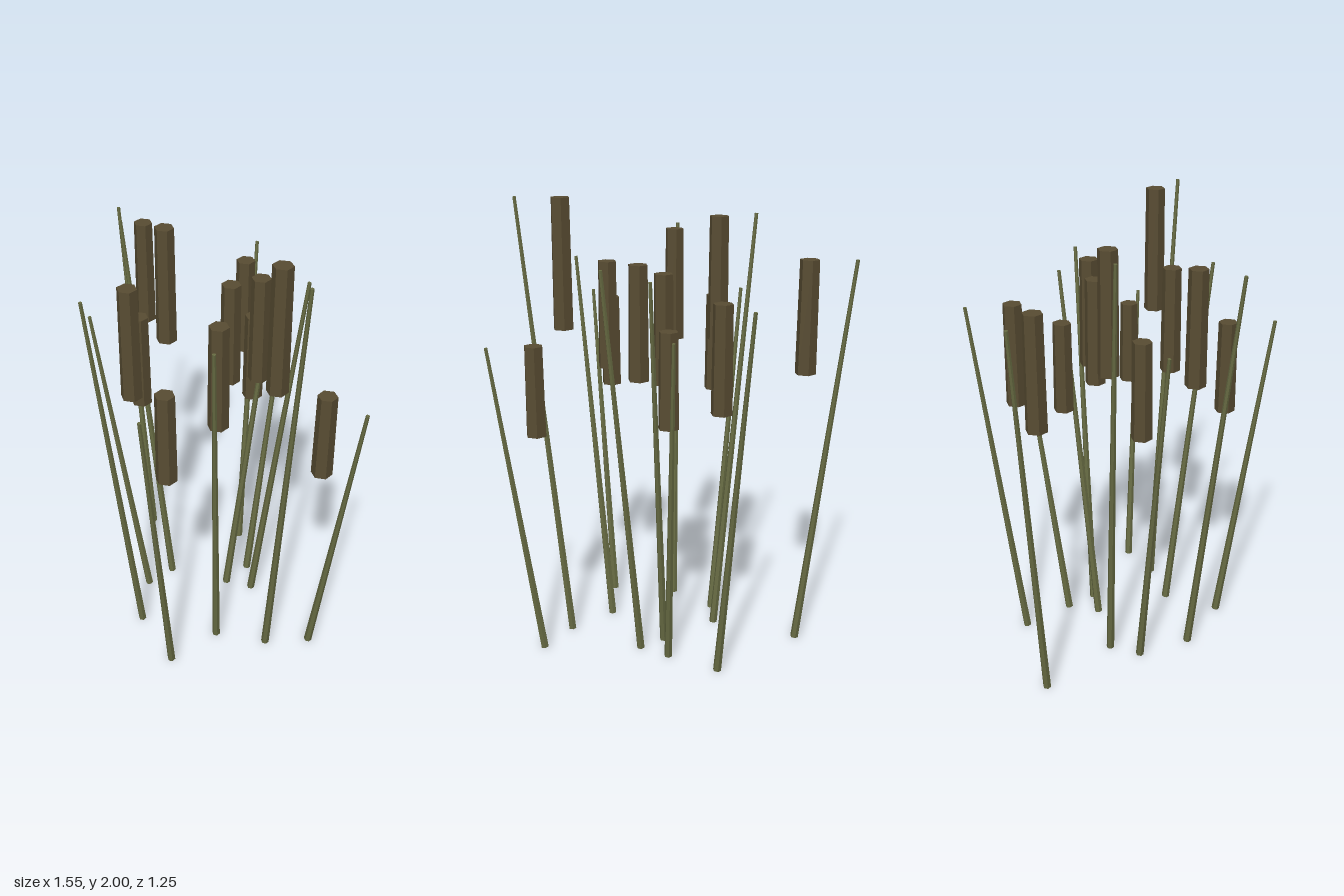
import * as THREE from 'three';

// Each reed: base x, base z, tip x, tip z, height
const REEDS = [
  [-0.16, -0.44, -0.245, -0.615, 1.63],
  [0.03, -0.285, 0.045, -0.485, 1.49],
  [0.025, -0.135, 0.11, -0.315, 1.7],
  [0.14, -0.19, 0.305, -0.295, 1.75],
  [-0.575, -0.215, -0.77, -0.25, 1.755],
  [0.57, -0.11, 0.765, -0.11, 1.41],
  [0.43, 0.04, 0.615, 0.105, 2.0],
  [0.225, 0.16, 0.345, 0.32, 1.71],
  [0.18, 0.42, 0.24, 0.615, 1.5],
  [-0.105, 0.33, -0.155, 0.525, 1.82],
  [-0.255, 0.135, -0.405, 0.275, 1.55],
  [-0.235, -0.01, -0.415, 0.065, 1.915],
];

export function createModel() {
  const model = new THREE.Group();
  model.name = 'reeds';
  const stemGreen = new THREE.MeshStandardMaterial({ color: 0x666a42, flatShading: true });
  stemGreen.name = 'stemGreen';
  const headBrown = new THREE.MeshStandardMaterial({ color: 0x584c32, flatShading: true });
  headBrown.name = 'headBrown';
  const up = new THREE.Vector3(0, 1, 0);

  for (const [x, z, tipX, tipZ, height] of REEDS) {
    const reed = new THREE.Group();
    reed.name = 'reed';

    // Thin tapered stem leaning outwards
    const base = new THREE.Vector3(x, 0.002, z);
    const lean = new THREE.Vector3(tipX, height - 0.001, tipZ).sub(base);
    const stem = new THREE.Mesh(new THREE.CylinderGeometry(0.008, 0.018, lean.length(), 6), stemGreen);
    stem.name = 'stem';
    stem.position.copy(base).addScaledVector(lean, 0.5);
    stem.quaternion.setFromUnitVectors(up, lean.clone().normalize());
    reed.add(stem);

    // Upright six-sided seed head above the base
    const headHeight = height * 0.278;
    const head = new THREE.Mesh(new THREE.CylinderGeometry(0.042, 0.046, headHeight, 6), headBrown);
    head.name = 'seedHead';
    head.position.set(x, height - headHeight / 2, z);
    reed.add(head);

    model.add(reed);
  }
  return model;
}
